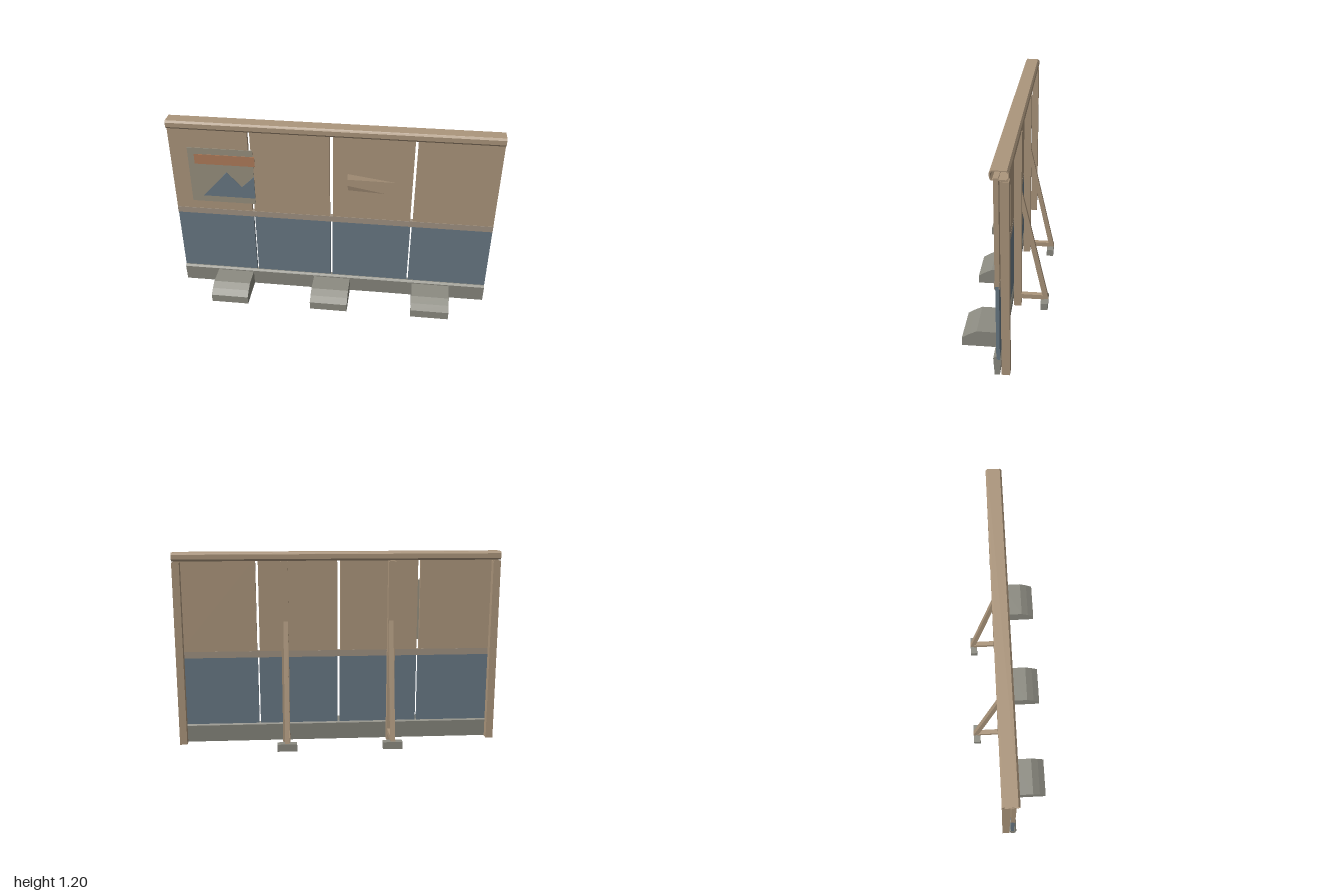
import * as THREE from 'three';

const mat = (name, color, side = THREE.FrontSide) => {
  const m = new THREE.MeshStandardMaterial({ color, side });
  m.name = name;
  return m;
};

export function createModel() {
  const root = new THREE.Group();
  root.name = 'fence';
  const tan = mat('tan board', 0xac967c, THREE.DoubleSide);
  const blue = mat('slate blue', 0x687884);
  const grey = mat('concrete grey', 0x8c8b81);
  const band = mat('rail taupe', 0xa09282);
  const paper = mat('poster grey', 0x98907f);
  const orange = mat('faded orange', 0xb07c5a);

  const add = (name, geometry, material) => {
    const mesh = new THREE.Mesh(geometry, material);
    mesh.name = name;
    root.add(mesh);
    return mesh;
  };
  // Box given by its lower and upper limits on each axis
  const box = (name, m, [x0, x1], [y0, y1], [z0, z1]) =>
    add(name, new THREE.BoxGeometry(x1 - x0, y1 - y0, z1 - z0), m)
      .position.set((x0 + x1) / 2, (y0 + y1) / 2, (z0 + z1) / 2);
  const shape = (pts) => new THREE.Shape(pts.map(([a, b]) => new THREE.Vector2(a, b)));
  // Side profile of (z, y) points, swept along x about a centre
  const sweep = (name, m, pts, width, cx = 0, hole) => {
    const s = shape(pts);
    if (hole) s.holes.push(shape(hole));
    const g = new THREE.ExtrudeGeometry(s, { depth: width, bevelEnabled: false });
    g.translate(0, 0, -width / 2).rotateY(-Math.PI / 2);
    add(name, g, m).position.x = cx;
  };

  // Boards: tan above, thinner blue below, with narrow gaps between
  const upper = [[-1, -0.512], [-0.496, -0.015], [0.005, 0.489], [0.505, 1]];
  const lower = [[-1, -0.507], [-0.497, -0.01], [0.003, 0.493], [0.502, 1]];
  upper.forEach((x) => box('upperPanel', tan, x, [0.56, 1.16], [-0.014, 0.011]));
  lower.forEach((x) => box('lowerPanel', blue, x, [0.1, 0.56], [-0.011, 0.008]));
  box('middleRail', band, [-1, 1], [0.545, 0.585], [-0.015, 0.014]);

  // Kickboard with chamfered top
  sweep('kickboard', grey, [[0.018, 0], [0.025, 0.108], [0.014, 0.119], [-0.009, 0.119],
    [-0.019, 0.108], [-0.01, 0]], 2);

  // Hollow top cap, open at both ends
  const ring = (t) => [[-0.055, 1.148], [0.02, 1.148], [0.03, 1.16], [0.03, 1.188],
    [0.02, 1.2], [-0.055, 1.2], [-0.065, 1.188], [-0.065, 1.16]]
    .map(([z, y]) => [-0.0175 + (z + 0.0175) * (1 - t / 0.0475), 1.174 + (y - 1.174) * (1 - t / 0.026)]);
  sweep('topCap', tan, ring(0), 2, 0, ring(0.005));

  // Hollow square posts
  const square = (r) => [[-r, -r], [r, -r], [r, r], [-r, r]];
  for (const x of [-0.977, -0.33, 0.33, 0.977]) {
    const s = shape(square(0.0225));
    s.holes.push(shape(square(0.0175)));
    const g = new THREE.ExtrudeGeometry(s, { depth: 1.142, bevelEnabled: false });
    add('post', g.rotateX(-Math.PI / 2), tan).position.set(x, 0, -0.042);
  }

  // Rear braces with struts and feet
  for (const x of [-0.325, 0.325]) {
    sweep('brace', tan, [[-0.063, 0.785], [-0.063, 0.665], [-0.2, 0.05], [-0.232, 0.05]], 0.028, x);
    box('braceStrut', tan, [x - 0.015, x + 0.015], [0.047, 0.077], [-0.205, -0.062]);
    box('braceFoot', grey, [x - 0.06, x + 0.06], [0, 0.045], [-0.23, -0.185]);
  }

  // Ballast blocks with sloping fronts
  for (const x of [-0.65, 0, 0.65]) {
    sweep('ballastBlock', grey, [[0.015, 0], [0.235, 0], [0.235, 0.052], [0.195, 0.078],
      [0.15, 0.101], [0.015, 0.101]], 0.24, x);
  }

  // Poster with a banner and a mountain shape
  box('poster', paper, [-0.89, -0.485], [0.642, 1.022], [0.01, 0.015]);
  box('posterBanner', orange, [-0.85, -0.475], [0.913, 0.98], [0.014, 0.018]);
  const hills = new THREE.ExtrudeGeometry(shape([[-0.815, 0.685], [-0.485, 0.685],
    [-0.485, 0.84], [-0.565, 0.762], [-0.655, 0.862]]), { depth: 0.004, bevelEnabled: false });
  add('posterHills', hills.translate(0, 0, 0.014), blue);

  // Torn paper slivers lifting off the board
  const sliver = (pts) => {
    const g = new THREE.BufferGeometry();
    g.setAttribute('position', new THREE.Float32BufferAttribute(pts, 3));
    g.computeVertexNormals();
    add('tornSliver', g, tan);
  };
  sliver([0.095, 0.9, 0.012, 0.095, 0.865, 0.021, 0.39, 0.858, 0.013]);
  sliver([0.095, 0.822, 0.021, 0.1, 0.785, 0.012, 0.33, 0.775, 0.013]);

  return root;
}
